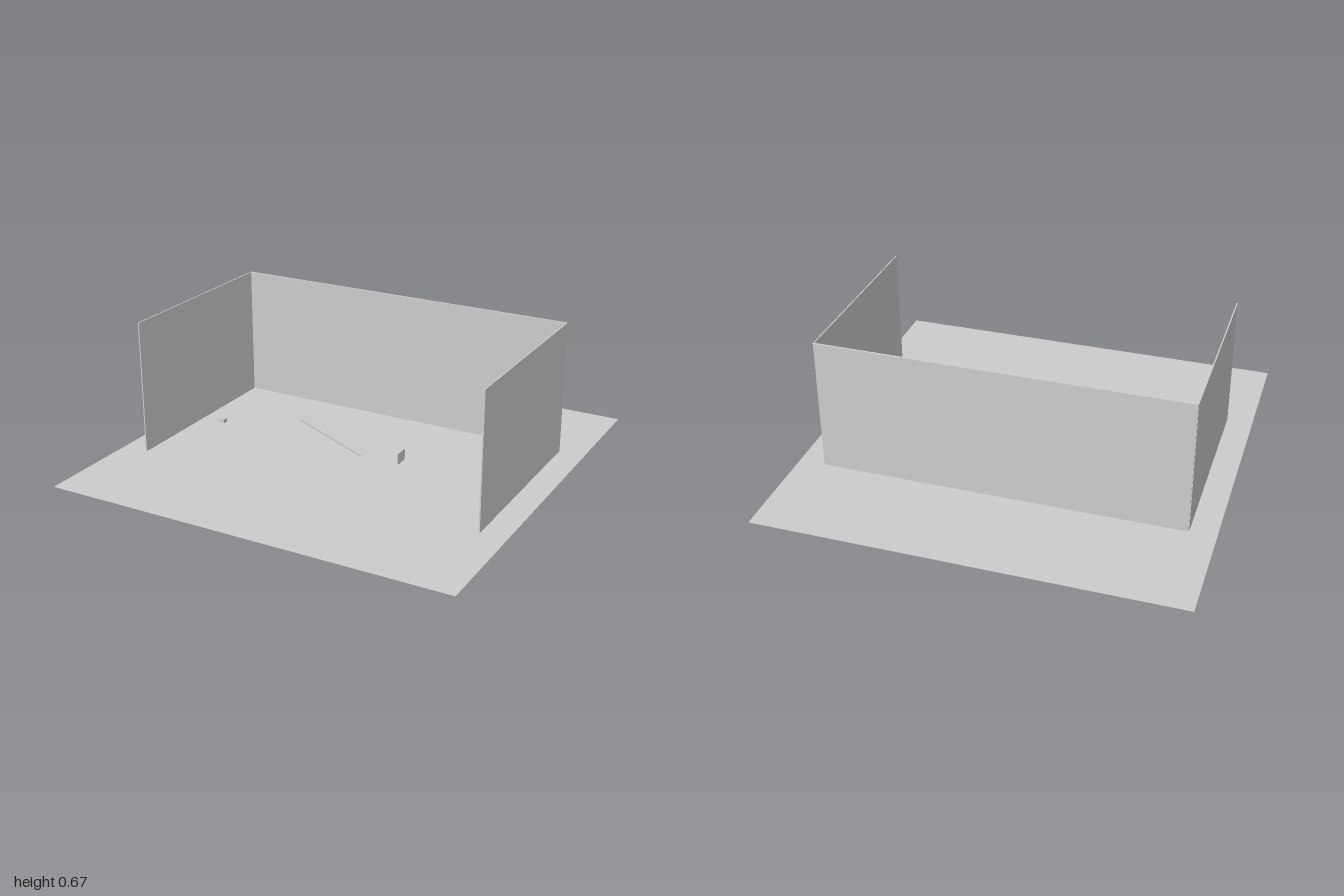
import * as THREE from 'three';

export function createModel() {
  const group = new THREE.Group();
  const grey = new THREE.MeshStandardMaterial({ color: 0xcccccc, side: THREE.DoubleSide });
  grey.name = 'plain grey';

  const FLOOR = 0.018;

  // Adds a box given its extents along each axis
  function box(name, [x0, x1], [y0, y1], [z0, z1]) {
    const mesh = new THREE.Mesh(new THREE.BoxGeometry(x1 - x0, y1 - y0, z1 - z0), grey);
    mesh.position.set((x0 + x1) / 2, (y0 + y1) / 2, (z0 + z1) / 2);
    mesh.name = name;
    group.add(mesh);
    return mesh;
  }

  // Square ground sheet
  const floor = new THREE.Mesh(new THREE.PlaneGeometry(2, 2).rotateX(-Math.PI / 2), grey);
  floor.position.y = FLOOR;
  floor.name = 'floor';
  group.add(floor);

  // Three thin walls, open at the front
  const wallY = [FLOOR, 0.67];
  box('backWall', [-0.872, 0.872], wallY, [-0.485, -0.475]);
  box('rightWall', [-0.875, -0.869], wallY, [-0.48, 0.48]);
  box('leftWall', [0.869, 0.875], wallY, [-0.48, 0.48]);

  // Sloping ramp that runs into a flat board just under the floor
  const top = new THREE.Vector2(-0.273, 0.14);
  const foot = new THREE.Vector2(0.088, 0.009);
  const slope = foot.clone().sub(top);
  const ramp = new THREE.Mesh(new THREE.BoxGeometry(slope.length(), 0.011, 0.07), grey);
  ramp.position.set((top.x + foot.x) / 2, (top.y + foot.y) / 2, 0);
  ramp.rotation.z = slope.angle();
  ramp.name = 'ramp';
  group.add(ramp);
  box('track', [0.08, 0.4], [0, 0.014], [-0.035, 0.035]);

  // Upright plate beyond the ramp and small block on the other side
  box('stopPlate', [0.257, 0.263], [0.014, 0.073], [-0.035, 0.035]);
  box('smallBlock', [-0.765, -0.737], [0.0175, 0.037], [-0.014, 0.014]);

  return group;
}
